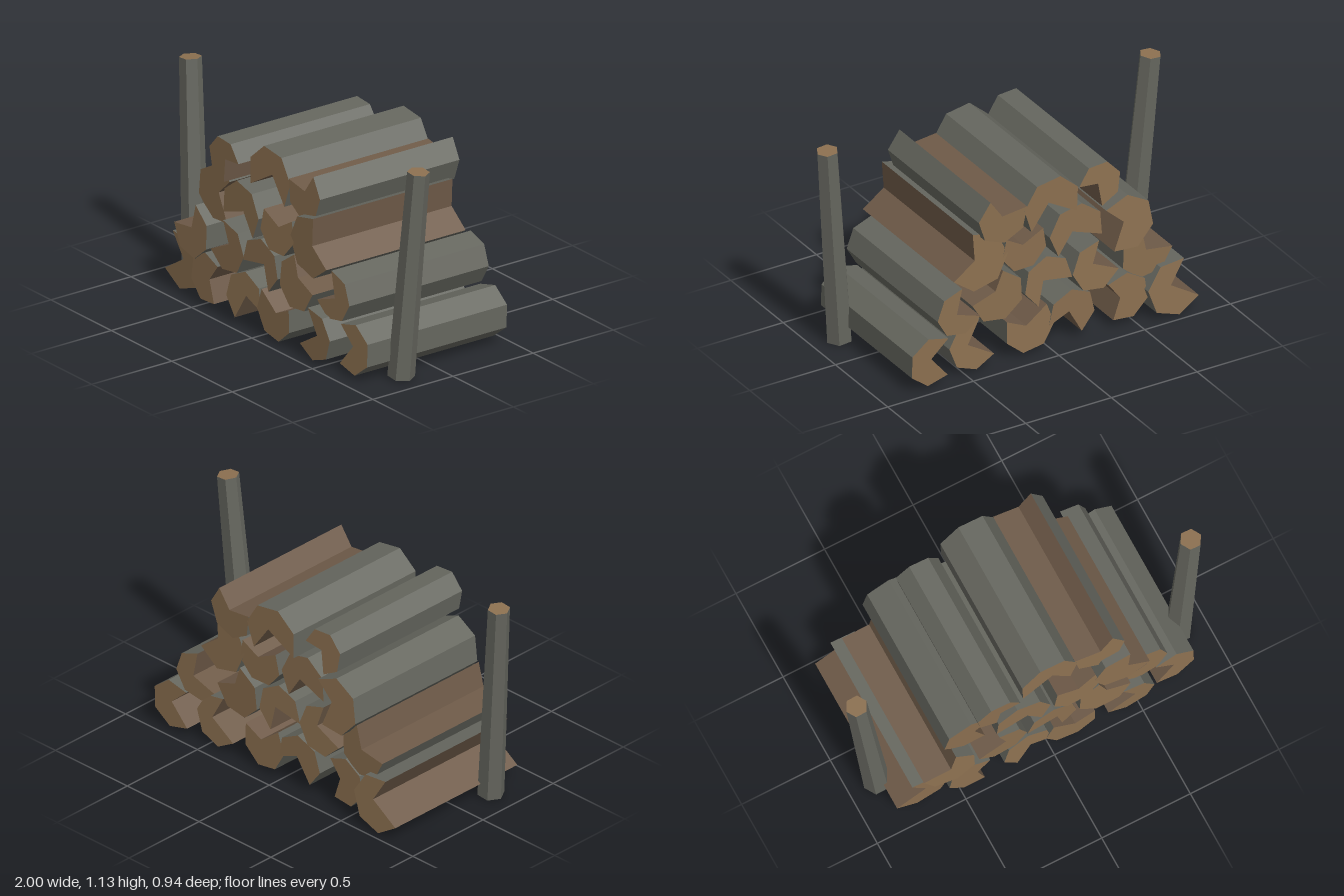
import * as THREE from 'three';

const material = (name, color) => {
  const m = new THREE.MeshStandardMaterial({ color });
  m.name = name;
  return m;
};
const bark = material('bark', 0x65665e);
const endGrain = material('endGrain', 0x8c7050);
const splitWood = material('splitWood', 0x6e5a48);

// Each log: notch corner x, y, the two notch tips x, y (clockwise), trunk radius
const LOGS = [
  // ground row
  [-.68, .18, -.76, .31, -.84, .08, .158],
  [-.41, .17, -.37, .05, -.34, .26, .135],
  [-.11, .18, -.19, .04, .01, .13, .14],
  [.14, .17, .25, .22, .02, .26, .143],
  [.48, .16, .41, .29, .33, .07, .142],
  [.72, .17, .62, .26, .62, .05, .138],
  // second row
  [-.56, .40, -.53, .53, -.71, .38, .147],
  [-.25, .41, -.29, .53, -.40, .34, .14],
  [.04, .40, -.13, .37, .07, .26, .142],
  [.32, .42, .45, .37, .28, .53, .147],
  [.57, .38, .54, .52, .43, .33, .134],
  // third row
  [-.40, .63, -.34, .48, -.30, .72, .157],
  [-.13, .63, -.30, .57, -.05, .51, .155],
  [.16, .64, .26, .70, .04, .70, .135],
  [.44, .63, .56, .54, .45, .78, .165],
  // top row
  [-.28, .86, -.30, .73, -.17, .87, .123],
  [.04, .87, -.13, .77, .14, .73, .166],
  [.31, .87, .38, .97, .17, .89, .14],
];
// Logs pushed towards the back of the pile; the rest stick out at the front
const PUSHED_BACK = [0, 5, 10, 11, 16, 17];

// Seven-sided trunk with one corner pulled inwards: the trunk circle runs through both tips
function logOutline([nx, ny, ax, ay, bx, by, radius]) {
  const tipA = new THREE.Vector2(ax, ay), tipB = new THREE.Vector2(bx, by);
  const chord = tipB.clone().sub(tipA);
  const half = chord.length() / 2;
  const centre = tipA.clone().add(tipB).multiplyScalar(0.5).addScaledVector(
    new THREE.Vector2(-chord.y, chord.x).normalize(), Math.sqrt(radius ** 2 - half ** 2));
  const first = Math.atan2(ay - centre.y, ax - centre.x);
  const step = (2 * Math.PI - 2 * Math.asin(half / radius)) / 5;
  const points = [new THREE.Vector2(nx, ny)];
  for (let k = 0; k < 6; k++) {
    const angle = first - k * step;
    points.push(new THREE.Vector2(Math.cos(angle), Math.sin(angle)).multiplyScalar(radius).add(centre));
  }
  return { points, centre };
}

// Prism with slightly slanted ends; notch faces are split wood, the rest bark
function makeLog(spec, i) {
  const { points, centre } = logOutline(spec);
  const n = points.length;
  const backShift = i < 11 ? -0.022 : -0.03;
  const shift = PUSHED_BACK.includes(i) ? backShift : 0.02;
  const slantX = 0.04 * Math.sin(i * 2.3), slantY = 0.05 * Math.cos(i * 1.7);
  const at = (k, side) => {
    const p = points[k % n];
    const slant = slantX * (p.x - centre.x) + slantY * (p.y - centre.y);
    return [p.x, p.y, side * 0.435 + shift + slant];
  };
  const pos = [];
  const geo = new THREE.BufferGeometry();
  const face = (...corners) => corners.forEach((c) => pos.push(...c));

  // bark and split sides
  for (let k = 0; k < n; k++) {
    geo.addGroup(k * 6, 6, k === 0 || k === n - 1 ? 2 : 0);
    const a = at(k, 1), b = at(k + 1, 1), c = at(k + 1, -1), d = at(k, -1);
    face(a, b, d);
    face(b, c, d);
  }
  // sawn ends, fanned from the notch corner
  for (let k = 1; k < n - 1; k++) {
    face(at(0, 1), at(k + 1, 1), at(k, 1));
    face(at(0, -1), at(k, -1), at(k + 1, -1));
  }
  geo.addGroup(n * 6, (n - 2) * 6, 1);
  geo.setAttribute('position', new THREE.Float32BufferAttribute(pos, 3));
  geo.computeVertexNormals();
  const log = new THREE.Mesh(geo, [bark, endGrain, splitWood]);
  log.name = 'log' + (i + 1);
  return log;
}

// Six-sided post leaning outward and slightly back
function makePost(side) {
  const foot = new THREE.Vector3(side * 0.85, 0.006, 0.21);
  const tip = new THREE.Vector3(side * 0.943, 1.126, 0.172);
  const axis = tip.clone().sub(foot);
  const geo = new THREE.CylinderGeometry(0.0575, 0.07, axis.length(), 6, 1, false, Math.PI / 6).toNonIndexed();
  geo.computeVertexNormals();
  const post = new THREE.Mesh(geo, [bark, endGrain, endGrain]);
  post.position.copy(foot).add(tip).multiplyScalar(0.5);
  post.quaternion.setFromUnitVectors(new THREE.Vector3(0, 1, 0), axis.normalize());
  post.name = side > 0 ? 'leftPost' : 'rightPost';
  return post;
}

export function createModel() {
  const model = new THREE.Group();
  model.name = 'firewoodStack';
  const pile = new THREE.Group();
  pile.name = 'logPile';
  LOGS.forEach((spec, i) => pile.add(makeLog(spec, i)));
  model.add(pile, makePost(1), makePost(-1));
  return model;
}
